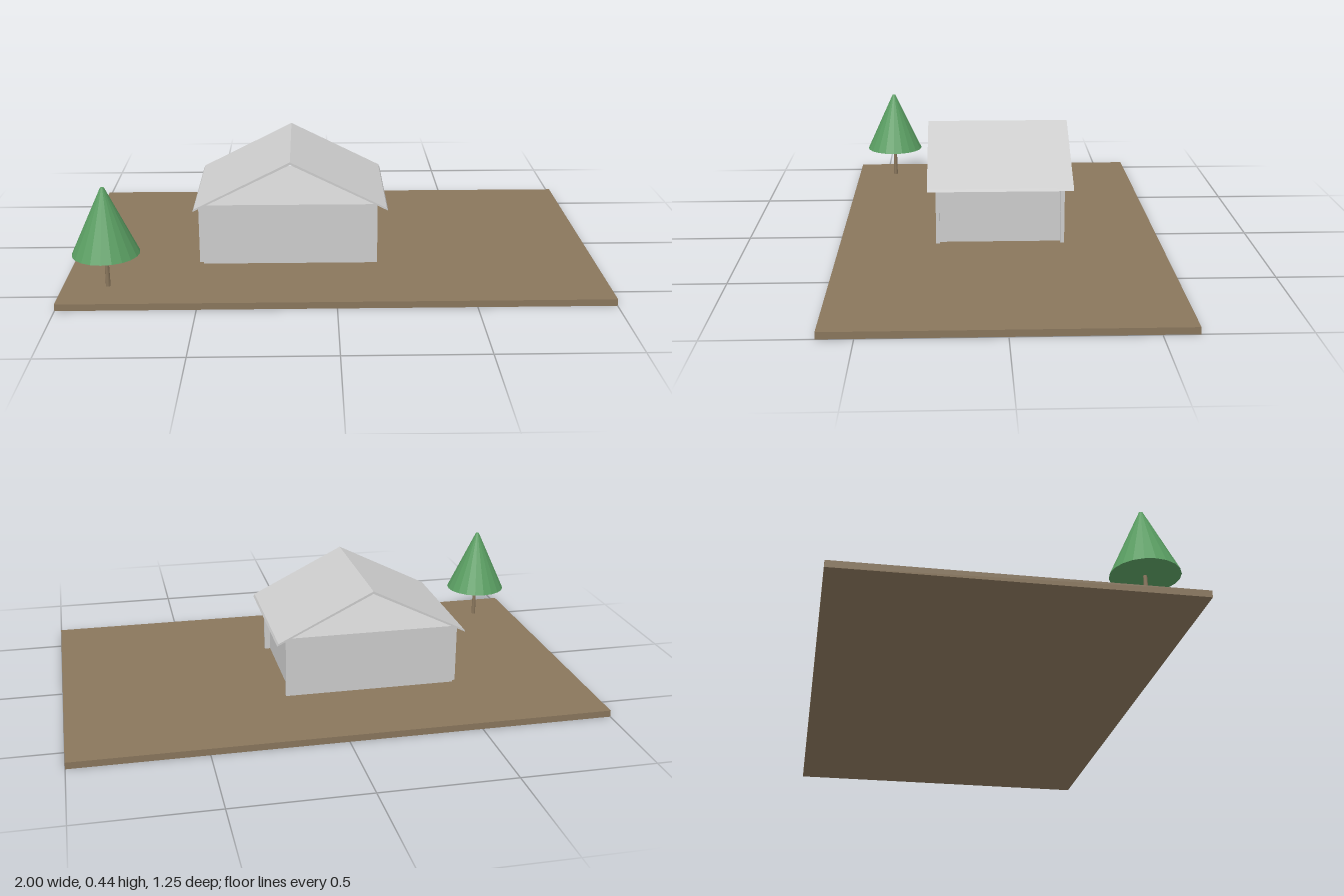
import * as THREE from 'three';

export function createModel() {
  const model = new THREE.Group();
  const material = (name, color, flatShading = false) => {
    const m = new THREE.MeshStandardMaterial({ color, flatShading });
    m.name = name;
    return m;
  };
  const earth = material('earth brown', 0x89765c);
  const plaster = material('plaster grey', 0xcccccc);
  const foliage = material('foliage green', 0x5a9e62, true);

  const add = (parent, name, geometry, mat, x, y, z) => {
    const mesh = new THREE.Mesh(geometry, mat);
    mesh.name = name;
    mesh.position.set(x, y, z);
    parent.add(mesh);
    return mesh;
  };
  // Box given by its extents on each axis
  const block = (parent, name, mat, [x0, x1], [y0, y1], [z0, z1]) =>
    add(parent, name, new THREE.BoxGeometry(x1 - x0, y1 - y0, z1 - z0), mat,
      (x0 + x1) / 2, (y0 + y1) / 2, (z0 + z1) / 2);

  // Ground slab
  block(model, 'ground', earth, [-1, 1], [0, 0.025], [-0.625, 0.625]);

  // House: walls, ceiling and open-gabled roof
  const house = new THREE.Group();
  house.name = 'house';
  model.add(house);
  const height = [0.025, 0.261];
  block(house, 'frontWall', plaster, [-0.503, 0.162], height, [0.235, 0.25]);
  block(house, 'backWall', plaster, [-0.503, 0.162], height, [-0.25, -0.235]);
  block(house, 'leftHandWall', plaster, [-0.518, -0.503], [0.025, 0.251], [-0.235, 0.235]);
  block(house, 'rightHandWall', plaster, [0.125, 0.14], height, [-0.235, 0.235]);
  block(house, 'ceiling', plaster, [-0.503, 0.14], [0.25, 0.26], [-0.235, 0.235]);

  // Roof section: two thin slopes meeting at the ridge
  const section = new THREE.Shape([
    [0, 0.438], [-0.363, 0.256], [-0.368, 0.246],
    [0, 0.428], [0.368, 0.246], [0.363, 0.256],
  ].map(([x, y]) => new THREE.Vector2(x, y)));
  add(house, 'roof',
    new THREE.ExtrudeGeometry(section, { depth: 0.564, bevelEnabled: false }),
    plaster, -0.168, 0, -0.282);

  // Tree: thin tapered trunk and a blunt conical crown
  const tree = new THREE.Group();
  tree.name = 'tree';
  tree.position.set(-0.835, 0, 0.458);
  model.add(tree);
  add(tree, 'trunk', new THREE.CylinderGeometry(0.007, 0.009, 0.14, 8), earth, 0, 0.09, 0);
  add(tree, 'crown', new THREE.CylinderGeometry(0.007, 0.123, 0.25, 20), foliage, 0, 0.278, 0);

  return model;
}
